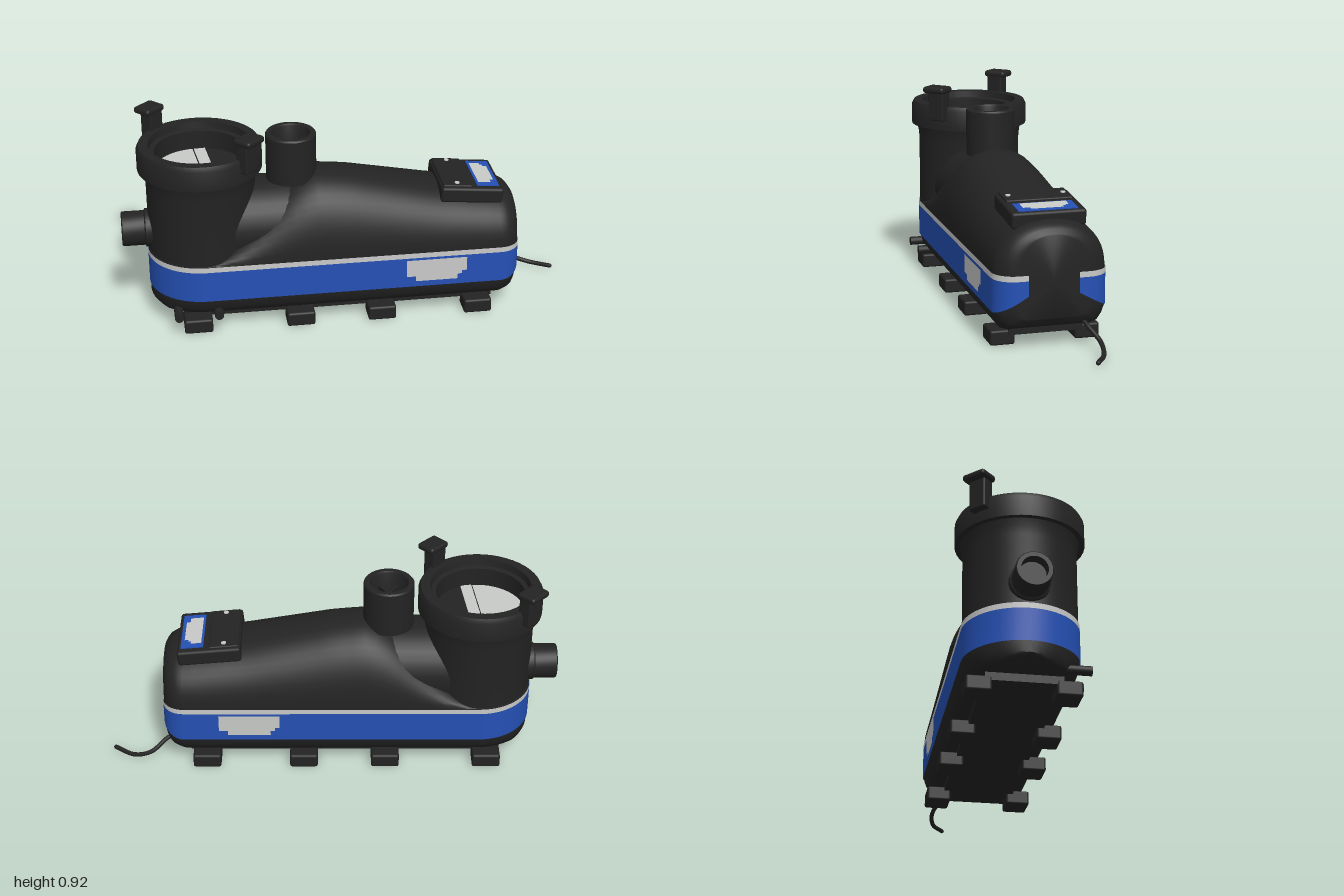
import * as THREE from 'three';
import { toCreasedNormals } from 'three/addons/utils/BufferGeometryUtils.js';
import { RoundedBoxGeometry } from 'three/addons/geometries/RoundedBoxGeometry.js';

const mat = (name, color, side = THREE.FrontSide) => {
  const m = new THREE.MeshStandardMaterial({ color, side });
  m.name = name;
  return m;
};

export function createModel() {
  const model = new THREE.Group();
  const black = mat('black plastic', 0x232323, THREE.DoubleSide);
  const blue = mat('blue band', 0x2450b4, THREE.DoubleSide);
  const white = mat('pale grey', 0xc8cac8, THREE.DoubleSide);
  const add = (name, geo, material, x = 0, y = 0, z = 0, parent = model) => {
    const mesh = new THREE.Mesh(geo, material);
    mesh.name = name;
    mesh.position.set(x, y, z);
    parent.add(mesh);
    return mesh;
  };
  const v2 = (pts) => pts.map(([x, y]) => new THREE.Vector2(x, y));
  const potX = -0.645, W = 0.24, endX = 0.75, corner = 0.09;

  // Housing: arched cross-sections lofted along x
  const ridge = [[-0.9, 0.335], [-0.62, 0.335], [-0.5, 0.42], [-0.4, 0.51], [-0.3, 0.6], [-0.22, 0.65], [-0.14, 0.67],
    [0, 0.655], [0.2, 0.615], [0.4, 0.575], [0.6, 0.55], [0.69, 0.54], [0.73, 0.52], [0.75, 0.49]];
  const lerpAt = (pts, x) => {
    const i = Math.max(1, pts.findIndex((p) => p[0] >= x));
    const [a, b] = [pts[i - 1], pts[i]];
    return a[1] + (b[1] - a[1]) * (x - a[0]) / (b[0] - a[0]);
  };
  const floor = [[-0.9, 0.13], [-0.87, 0.1], [-0.82, 0.08], [0.66, 0.08], [0.72, 0.1], [0.75, 0.14]];
  const halfWidth = (x) => {
    if (x < potX) return Math.sqrt(Math.max(0, W * W - (x - potX) ** 2));
    if (x > endX - corner) return W - corner + Math.sqrt(Math.max(0, corner ** 2 - (x - endX + corner) ** 2));
    return W;
  };
  const stations = [];
  for (let i = 0; i <= 14; i++) stations.push(potX - W * Math.cos(i / 14 * Math.PI / 2));
  for (let i = 1; i <= 26; i++) stations.push(potX + (endX - corner - potX) * i / 26);
  for (let i = 1; i <= 8; i++) stations.push(endX - corner + corner * Math.sin(i / 8 * Math.PI / 2));
  const section = (x) => {
    const w = halfWidth(x), b = lerpAt(floor, x), t = lerpAt(ridge, Math.min(x, 0.7499));
    const half = [[w * 0.72, b], [w * 0.86, b + 0.01], [w * 0.95, b + 0.04], [w, Math.max(0.165, b + 0.06)], [w, 0.25]];
    for (let i = 0; i < 12; i++) {
      const a = i / 12 * Math.PI / 2;
      half.push([w * Math.cos(a) ** 0.9, 0.33 + (t - 0.33) * Math.sin(a) ** 0.9]);
    }
    return [[0, b], ...half, [0, t], ...half.reverse().map(([z, y]) => [-z, y])];
  };
  const pos = [], index = [];
  const n = section(0).length;
  stations.forEach((x, k) => {
    section(x).forEach(([z, y]) => pos.push(x, y, z));
    if (k === 0) return;
    for (let i = 0; i < n; i++) {
      const a = (k - 1) * n + i, b = (k - 1) * n + (i + 1) % n;
      index.push(a, a + n, b, b, a + n, b + n);
    }
  });
  const last = (stations.length - 1) * n;
  pos.push(endX, 0.3, 0);
  for (let i = 0; i < n; i++) index.push(last + n, last + (i + 1) % n, last + i);
  const housing = new THREE.BufferGeometry();
  housing.setAttribute('position', new THREE.Float32BufferAttribute(pos, 3));
  housing.setIndex(index);
  add('housing', toCreasedNormals(housing, 0.7), black);

  // Neck joining the strainer pot to the housing
  const neck = new THREE.CylinderGeometry(0.2, 0.2, 0.42, 32).rotateZ(Math.PI / 2);
  add('neck', neck, black, -0.4, 0.43, 0);

  // Wraparound band and stripe: vertical strips along the plan outline
  const plan = [], off = 0.004, R = W + off;
  plan.push([endX + off, 0.108], [endX + off, W - corner]);
  for (let i = 1; i <= 8; i++) {
    const a = i / 8 * Math.PI / 2;
    plan.push([endX - corner + (corner + off) * Math.cos(a), W - corner + (corner + off) * Math.sin(a)]);
  }
  for (let i = 0; i <= 24; i++) {
    const a = i / 24 * Math.PI / 2;
    plan.push([potX - R * Math.sin(a), R * Math.cos(a)]);
  }
  const outline = [...plan, ...plan.slice(0, -1).reverse().map(([x, z]) => [x, -z])];
  const strip = (name, lo, hi, material) => {
    const p = [], idx = [];
    outline.forEach(([x, z], i) => {
      p.push(x, lo(x, z), z, x, hi, z);
      if (i) idx.push(2 * i - 2, 2 * i - 1, 2 * i, 2 * i, 2 * i - 1, 2 * i + 1);
    });
    const g = new THREE.BufferGeometry();
    g.setAttribute('position', new THREE.Float32BufferAttribute(p, 3));
    g.setIndex(idx);
    g.computeVertexNormals();
    add(name, g, material);
  };
  strip('blueBand', (x, z) => (x > 0.66 ? 0.163 + (R - Math.abs(z)) * 0.57 : 0.163), 0.305, blue);
  strip('paleStripe', () => 0.305, 0.329, white);

  // Stepped blank label, centred at the origin and facing +z
  const label = (w, h) => new THREE.ShapeGeometry(new THREE.Shape(v2([
    [-0.5, 0.5], [0.5, 0.5], [0.5, -0.12], [0.42, -0.12], [0.42, -0.27], [0.35, -0.27], [0.35, -0.5],
    [-0.35, -0.5], [-0.35, -0.27], [-0.5, -0.27]].map(([x, y]) => [x * w, y * h]))));
  add('sideLabel', label(0.27, 0.105), white, 0.37, 0.243, R + 0.003);
  add('sideLabel', label(0.27, 0.105).rotateY(Math.PI), white, 0.37, 0.243, -R - 0.003);

  // Strainer pot with a flared locking ring and recessed lid
  const pot = new THREE.LatheGeometry(v2([[0.238, 0.25], [0.238, 0.64], [0.242, 0.68], [0.25, 0.71], [0.272, 0.71],
    [0.272, 0.8], [0.262, 0.82], [0.22, 0.82], [0.215, 0.79], [0.195, 0.785], [0.195, 0.69]]), 48);
  add('strainerPot', toCreasedNormals(pot, 0.6), black, potX);
  const lidHalf = (name, start, material) => add(name,
    new THREE.CircleGeometry(0.197, 32, start, Math.PI).rotateX(-Math.PI / 2), material, potX, 0.7, 0);
  lidHalf('lidPaleHalf', Math.PI / 2 - 0.1 + 0.2, white);
  lidHalf('lidDarkHalf', -Math.PI / 2 + 0.1, black);
  add('lidPaleStrip', new THREE.BoxGeometry(0.05, 0.004, 0.38), white, potX + 0.03, 0.701, 0).rotation.y = 0.1;

  // Clamp handles on opposite diagonals
  for (const s of [-1, 1]) {
    const clamp = new THREE.Group();
    clamp.name = 'clamp';
    clamp.position.x = potX;
    clamp.rotation.y = s > 0 ? -Math.PI / 4 : Math.PI * 3 / 4;
    model.add(clamp);
    add('clampStem', new RoundedBoxGeometry(0.06, 0.15, 0.08, 2, 0.008), black, 0.272, 0.832, 0, clamp);
    add('clampGrip', new RoundedBoxGeometry(0.09, 0.03, 0.11, 3, 0.013), black, 0.285, 0.904, 0, clamp);
  }

  // Outlet pipe with internal spokes
  const pipe = new THREE.LatheGeometry(v2([[0, 0.63], [0.111, 0.63], [0.111, 0.835], [0.106, 0.842], [0.086, 0.842],
    [0.082, 0.835], [0.082, 0.72], [0, 0.72]]), 40);
  add('outletPipe', toCreasedNormals(pipe, 0.6), black, -0.245);
  for (let i = 0; i < 3; i++) {
    add('outletSpoke', new THREE.BoxGeometry(0.16, 0.06, 0.01), black, -0.245, 0.75, 0).rotation.y = i * Math.PI / 3;
  }

  // Inlet pipe
  const inlet = new THREE.LatheGeometry(v2([[0, 0], [0.085, 0], [0.085, 0.045], [0.077, 0.05], [0.077, 0.145],
    [0.072, 0.15], [0.055, 0.15], [0.055, 0.1], [0, 0.1]]), 32);
  add('inletPipe', toCreasedNormals(inlet, 0.6).rotateZ(Math.PI / 2), black, -0.85, 0.423, 0);

  // Control panel with cover, display and screws
  const panel = new THREE.Group();
  panel.name = 'controlPanel';
  panel.position.set(0.54, 0.55, 0);
  panel.rotation.z = -0.09;
  model.add(panel);
  add('panelBase', new RoundedBoxGeometry(0.28, 0.07, 0.32, 2, 0.012), black, 0, 0, 0, panel);
  add('panelCover', new RoundedBoxGeometry(0.13, 0.03, 0.29, 2, 0.006), black, -0.068, 0.029, 0, panel);
  add('displayPlate', new THREE.BoxGeometry(0.1, 0.006, 0.255), blue, 0.073, 0.036, 0, panel);
  add('displayLabel', label(0.2, 0.075).rotateX(-Math.PI / 2).rotateY(Math.PI / 2), white, 0.07, 0.041, 0, panel);
  for (const z of [-0.12, 0.12]) {
    add('screw', new THREE.CylinderGeometry(0.011, 0.011, 0.005, 12), white, -0.068, 0.046, z, panel);
  }

  // Base plate, feet and drain plugs
  add('basePlate', new THREE.BoxGeometry(1.39, 0.04, 0.32), black, -0.055, 0.066, 0);
  for (const x of [-0.69, -0.235, 0.13, 0.565]) {
    for (const z of [-0.184, 0.184]) {
      add('foot', new RoundedBoxGeometry(0.125, 0.065, 0.107, 2, 0.01), black, x, 0.0325, z);
    }
  }
  for (const x of [-0.775, -0.6]) {
    add('drainPlug', new THREE.CylinderGeometry(0.02, 0.02, 0.12, 16).rotateX(Math.PI / 2), black, x, 0.1, 0.207);
  }

  // Power cable
  const path = new THREE.CatmullRomCurve3([[0.7, 0.12, -0.13], [0.75, 0.095, -0.145], [0.82, 0.045, -0.178],
    [0.9, 0.017, -0.165], [0.99, 0.017, -0.11]].map((p) => new THREE.Vector3(...p)));
  add('powerCable', new THREE.TubeGeometry(path, 32, 0.01, 10), black);
  const end = path.getPoint(1);
  add('cableEnd', new THREE.SphereGeometry(0.01, 10, 8), black, end.x, end.y, end.z);
  return model;
}
